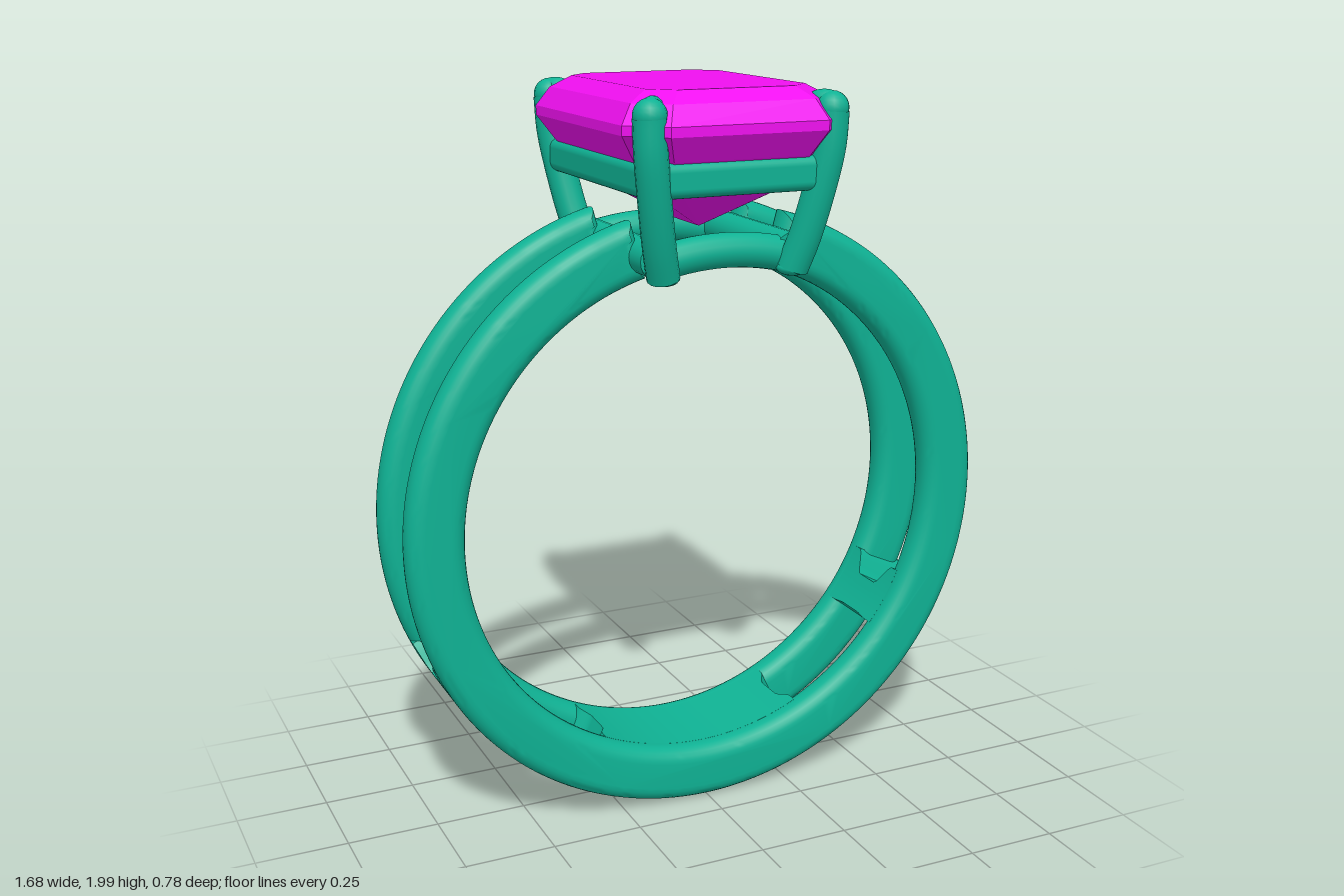
import * as THREE from 'three';
import { toCreasedNormals } from 'three/addons/utils/BufferGeometryUtils.js';
import { RoundedBoxGeometry } from 'three/addons/geometries/RoundedBoxGeometry.js';

const CY = 0.85, R_IN = 0.685, R_OUT = 0.842;
const rad = THREE.MathUtils.degToRad;

export function createModel() {
  const ring = new THREE.Group();
  ring.name = 'ring';
  const metal = new THREE.MeshStandardMaterial({ color: 0x0fb294 });
  const gem = new THREE.MeshStandardMaterial({ color: 0xf010f0, flatShading: true });

  function add(name, geometry, material = metal, x = 0, y = 0, z = 0, parent = ring) {
    const mesh = new THREE.Mesh(geometry, material);
    mesh.name = name;
    mesh.position.set(x, y, z);
    parent.add(mesh);
    return mesh;
  }

  // Two parallel bands, open at the top where the setting sits
  const b = 0.042;
  const a0 = rad(105), a1 = rad(435);
  const arc = new THREE.Shape();
  arc.absarc(0, 0, R_OUT, a0, a1, false);
  arc.absarc(0, 0, R_IN, a1, a0, true);
  const bandGeo = toCreasedNormals(new THREE.ExtrudeGeometry(arc, {
    depth: 0.095 - 2 * b, curveSegments: 110, bevelEnabled: true,
    bevelThickness: b, bevelSize: b, bevelOffset: -b, bevelSegments: 6,
  }), 0.6);
  add('frontBand', bandGeo, metal, 0, CY, 0.08 + b);
  add('backBand', bandGeo, metal, 0, CY, -0.175 + b);

  // Bridges between the bands: a box bent round the ring, its ends flaring
  // into the bands. Angles are measured from straight down.
  function bridge(from, to, flareFrom, flareTo) {
    const g = new THREE.BoxGeometry(1, 1, 0.24, 28, 1, 24);
    const p = g.attributes.position;
    for (let i = 0; i < p.count; i++) {
      const z = p.getZ(i);
      const f = THREE.MathUtils.clamp((Math.abs(z) - 0.045) / 0.04, 0, 1);
      const a = rad(THREE.MathUtils.lerp(from - flareFrom * f, to + flareTo * f, p.getX(i) + 0.5));
      // the box's underside becomes the outer face
      const r = THREE.MathUtils.lerp(R_OUT, R_IN, p.getY(i) + 0.5);
      p.setXYZ(i, r * Math.sin(a), -r * Math.cos(a), z);
    }
    return toCreasedNormals(g, 0.6);
  }
  add('bottomBridge', bridge(-23.5, 23.5, 2, 2), metal, 0, CY, 0);
  add('leftBridge', bridge(52.6, 61, 0.5, 5.5), metal, 0, CY, 0);
  add('rightBridge', bridge(-61, -52.6, 5.5, 0.5), metal, 0, CY, 0);

  // Lower gallery: arched rails front and back, straight rails at the sides
  const archHalf = rad(15);
  const archGeo = new THREE.TorusGeometry(0.735, 0.046, 16, 24, archHalf * 2);
  archGeo.rotateZ(Math.PI / 2 - archHalf);
  const sideRailGeo = new THREE.CylinderGeometry(0.047, 0.047, 0.5, 20);
  sideRailGeo.rotateX(Math.PI / 2);
  for (const s of [1, -1]) {
    add(s > 0 ? 'frontLowerRail' : 'backLowerRail', archGeo, metal, 0, CY, s * 0.225);
    add(s > 0 ? 'leftLowerRail' : 'rightLowerRail', sideRailGeo, metal, s * 0.19, 1.575, 0);
  }

  // Upper gallery: rectangular frame under the stone
  const upperX = new RoundedBoxGeometry(0.48, 0.09, 0.075, 4, 0.025);
  const upperZ = new RoundedBoxGeometry(0.075, 0.09, 0.64, 4, 0.025);
  for (const s of [1, -1]) {
    add(s > 0 ? 'frontUpperRail' : 'backUpperRail', upperX, metal, 0, 1.785, s * 0.315);
    add(s > 0 ? 'leftUpperRail' : 'rightUpperRail', upperZ, metal, s * 0.23, 1.785, 0);
  }

  // Four corner prongs curving up and over the stone
  for (const sx of [1, -1]) for (const sz of [1, -1]) {
    const prong = new THREE.Group();
    prong.name = (sz > 0 ? 'front' : 'back') + (sx > 0 ? 'Left' : 'Right') + 'Prong';
    ring.add(prong);
    const at = (x, y, z) => new THREE.Vector3(sx * x, y, sz * z);
    const path = new THREE.CatmullRomCurve3([
      at(0.183, 1.535, 0.268), at(0.205, 1.62, 0.293), at(0.23, 1.75, 0.322),
      at(0.245, 1.85, 0.338), at(0.25, 1.94, 0.342),
    ]);
    add('prongShaft', new THREE.TubeGeometry(path, 20, 0.043, 16), metal, 0, 0, 0, prong);
    const foot = add('prongFoot', new THREE.SphereGeometry(0.043, 16, 12), metal, sx * 0.183, 1.535, sz * 0.268, prong);
    foot.scale.y = 0.5;
    // rounded tip and the claw pointing at the stone
    add('prongTip', new THREE.SphereGeometry(0.043, 16, 12), metal, sx * 0.249, 1.945, sz * 0.341, prong);
    const claw = add('prongClaw', new THREE.SphereGeometry(1, 16, 12), metal, sx * 0.236, 1.955, sz * 0.325, prong);
    claw.scale.set(0.028, 0.036, 0.055);
    claw.rotation.y = sx * sz * rad(38);
  }

  // Step-cut stone: cut-corner rectangles stacked from keel to table
  const levels = [ // y, half width, half depth, corner cut
    [1.63, 0.004, 0.09, 0.003],
    [1.74, 0.19, 0.275, 0.055],
    [1.83, 0.262, 0.345, 0.075],
    [1.895, 0.305, 0.39, 0.09],
    [1.92, 0.305, 0.39, 0.09],
    [1.97, 0.272, 0.355, 0.078],
    [2.0, 0.22, 0.308, 0.06],
  ];
  const loops = levels.map(([y, w, d, c]) => [
    [w, y, d - c], [w, y, c - d], [w - c, y, -d], [c - w, y, -d],
    [-w, y, c - d], [-w, y, d - c], [c - w, y, d], [w - c, y, d],
  ]);
  const verts = [];
  const tri = (p, q, r) => verts.push(...p, ...q, ...r);
  for (let l = 0; l + 1 < loops.length; l++) {
    for (let i = 0; i < 8; i++) {
      const j = (i + 1) % 8, lo = loops[l], hi = loops[l + 1];
      tri(lo[i], lo[j], hi[j]);
      tri(lo[i], hi[j], hi[i]);
    }
  }
  const bottom = loops[0], top = loops[loops.length - 1];
  for (let i = 1; i < 7; i++) {
    tri(top[0], top[i], top[i + 1]);
    tri(bottom[0], bottom[i + 1], bottom[i]);
  }
  const stoneGeo = new THREE.BufferGeometry();
  stoneGeo.setAttribute('position', new THREE.Float32BufferAttribute(verts, 3));
  stoneGeo.computeVertexNormals();
  add('stone', stoneGeo, gem);

  return ring;
}
